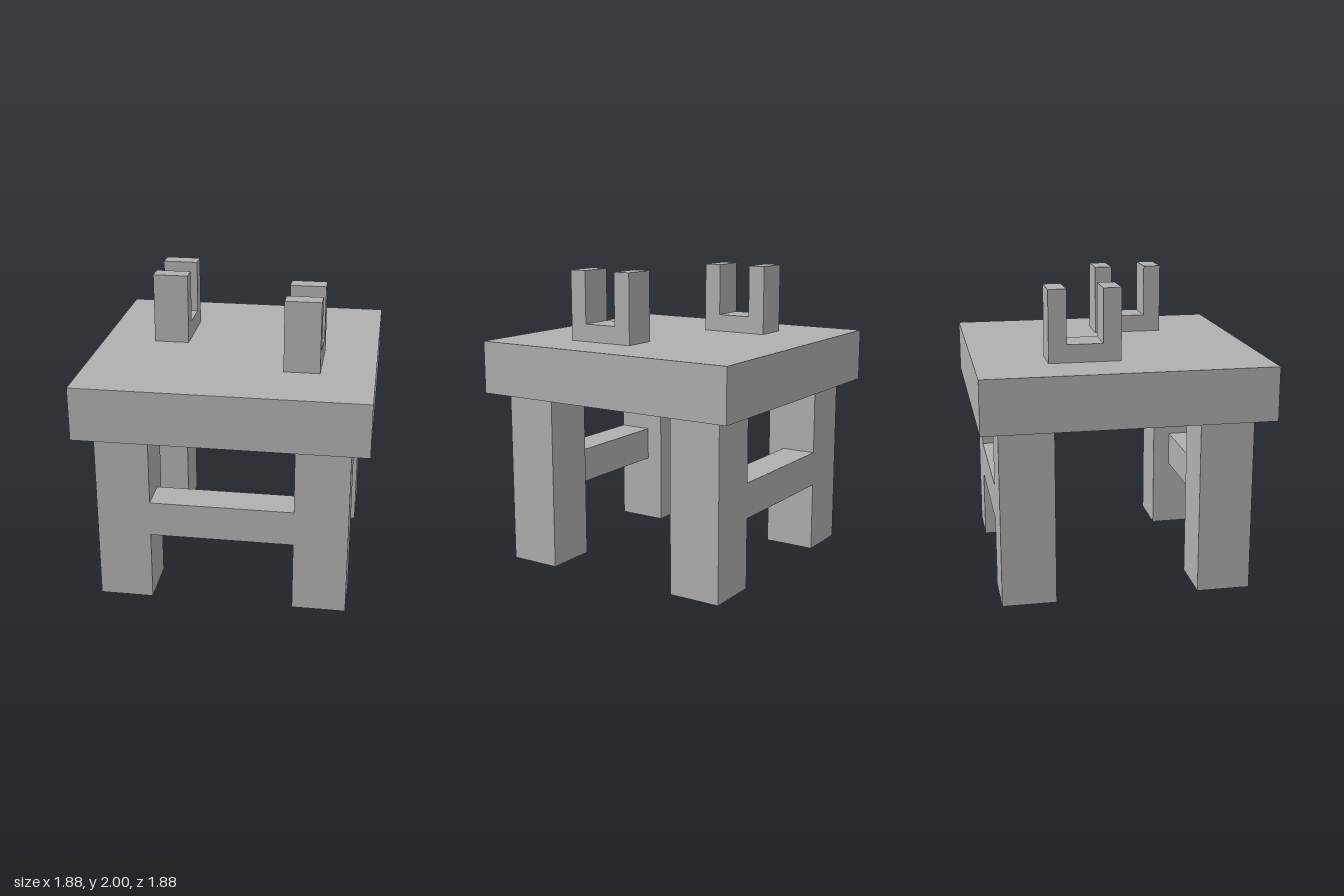
import * as THREE from 'three';

// Everything sits on a 17-unit-high grid
const U = 2 / 17;

export function createModel() {
  const model = new THREE.Group();
  const grey = new THREE.MeshStandardMaterial({ color: 0xb0b0b0 });
  grey.name = 'plain grey';

  // Box given by its size, centre and underside, in grid units
  function box(name, w, h, d, x, y, z) {
    const mesh = new THREE.Mesh(new THREE.BoxGeometry(w * U, h * U, d * U), grey);
    mesh.name = name;
    mesh.position.set(x * U, (y + h / 2) * U, z * U);
    model.add(mesh);
  }

  // Slab top
  box('tableTop', 16, 3, 16, 0, 10, 0);

  // Four legs, with a rail flush to the outer face at front and back
  for (const sz of [1, -1]) {
    const end = sz > 0 ? 'front' : 'back';
    for (const sx of [1, -1]) {
      box(end + (sx > 0 ? 'Left' : 'Right') + 'Leg', 3, 10, 3, sx * 5.5, 0, sz * 5.5);
    }
    box(end + 'Rail', 8, 2, 2, 0, 4, sz * 6);
  }

  // U-shaped bracket profile: four long, four high, posts one thick
  const profile = new THREE.Shape(
    [[0, 0], [4, 0], [4, 4], [3, 4], [3, 1], [1, 1], [1, 4], [0, 4]]
      .map(([a, b]) => new THREE.Vector2(a * U, b * U)));
  const bracketGeometry = new THREE.ExtrudeGeometry(profile, { depth: 2 * U, bevelEnabled: false });
  bracketGeometry.rotateY(-Math.PI / 2); // length along +z, width along -x
  bracketGeometry.translate(5 * U, 13 * U, 0);

  // Two brackets, half a turn apart
  ['leftBracket', 'rightBracket'].forEach((name, i) => {
    const bracket = new THREE.Mesh(bracketGeometry, grey);
    bracket.name = name;
    bracket.rotation.y = i * Math.PI;
    model.add(bracket);
  });

  return model;
}
